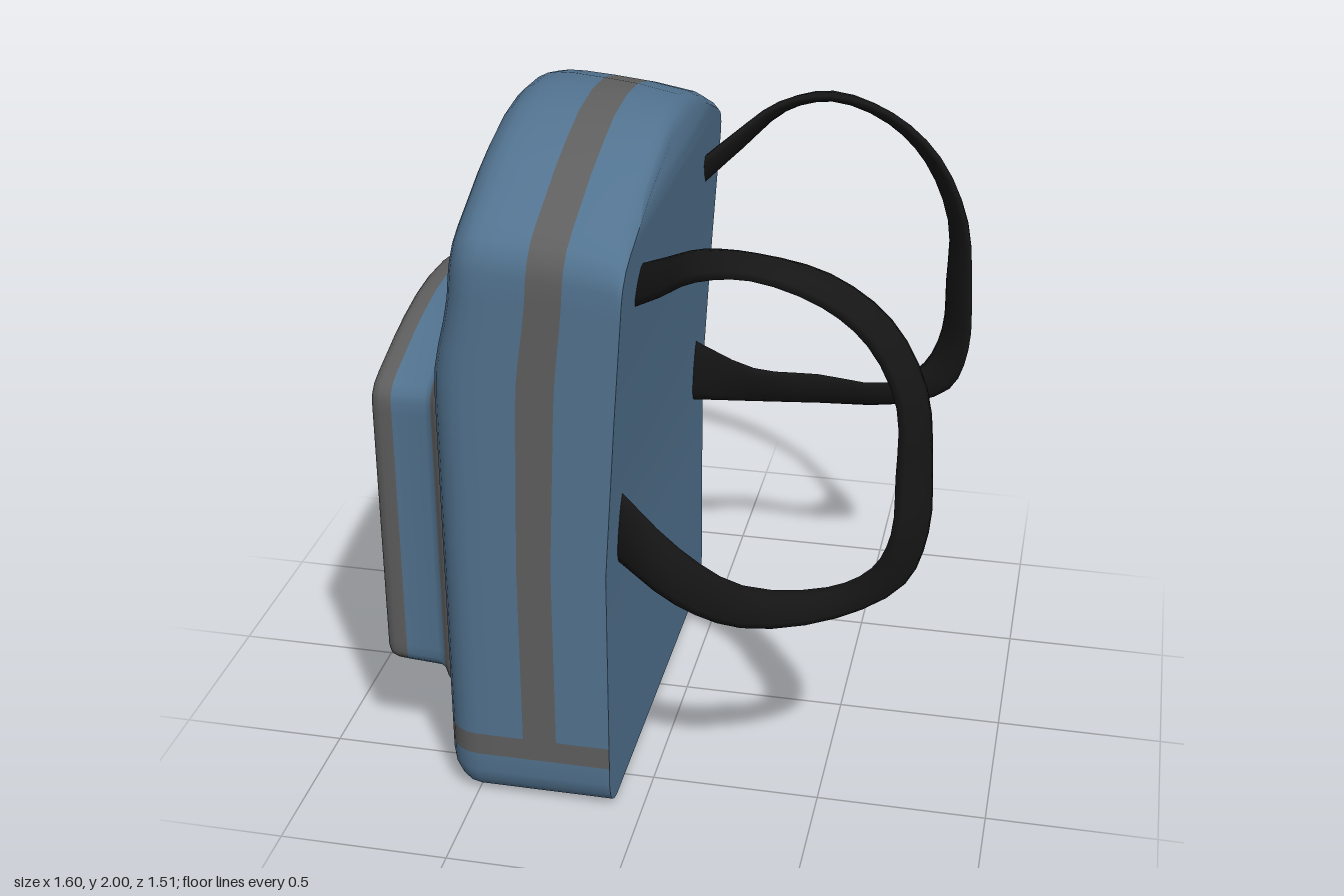
import * as THREE from 'three';
import { toCreasedNormals } from 'three/addons/utils/BufferGeometryUtils.js';

const fabric = new THREE.MeshStandardMaterial({ color: 0x527390 });
const trim = new THREE.MeshStandardMaterial({ color: 0x5f5f5f });
const webbing = new THREE.MeshStandardMaterial({ color: 0x161616 });

// Right half of the arched outline as [z, y], from the bottom edge to the top centre
const outline = [];
for (let i = 0; i <= 4; i++) {
  const a = (i / 4) * Math.PI / 2;
  outline.push([0.6 + 0.09 * Math.sin(a), 0.09 - 0.09 * Math.cos(a)]);
}
const bandRow = outline.length;
for (const y of [0.15, 0.22, 0.5, 0.8, 1.1, 1.3, 1.38, 1.46, 1.54, 1.62, 1.69]) outline.push([0.69, y]);
outline.push([0.682, 1.735], [0.655, 1.78], [0.6, 1.815], [0.5, 1.862], [0.4, 1.91],
  [0.29, 1.95], [0.15, 1.987], [0, 2]);

function piecewise(points, v) {
  for (let i = 1; i < points.length; i++) {
    const [a, fa] = points[i - 1], [b, fb] = points[i];
    if (v <= b) return fa + (fb - fa) * Math.max(0, (v - a) / (b - a));
  }
  return points[points.length - 1][1];
}

// Closed shell: the outline is swept through rings from back to front, with row-wise end caps
function shell(name, ringCount, place, isTrim) {
  const m = outline.length, n = 2 * m - 1;
  const positions = [], plain = [], accent = [];
  for (let k = 0; k < ringCount; k++) {
    for (let j = 0; j < n; j++) {
      const left = j >= m;
      const [z, y] = outline[left ? n - 1 - j : j];
      positions.push(...place(left ? -z : z, y, k));
    }
  }
  for (let k = 0; k < ringCount - 1; k++) {
    for (let j = 0; j < n; j++) {
      const row = j === n - 1 ? -1 : j < m - 1 ? j : n - 2 - j;
      const a = k * n + j, b = k * n + (j + 1) % n;
      (isTrim(k, row) ? accent : plain).push(a, b, b + n, a, b + n, a + n);
    }
  }
  const last = (ringCount - 1) * n;
  for (let i = 0; i < m - 1; i++) {
    const l = n - 1 - i;
    const front = [l, i, i + 1];
    if (i < m - 2) front.push(l, i + 1, l - 1);
    (isTrim(ringCount - 1, i) ? accent : plain).push(...front.map(v => v + last));
    plain.push(...front.reverse());
  }
  let geometry = new THREE.BufferGeometry();
  geometry.setAttribute('position', new THREE.Float32BufferAttribute(positions, 3));
  geometry.setIndex([...plain, ...accent]);
  geometry = toCreasedNormals(geometry, 0.75);

  // Separate fabric and trim while keeping the shared smooth normals
  const group = new THREE.Group();
  group.name = name;
  const cut = plain.length;
  const total = cut + accent.length;
  for (const [suffix, from, to, material] of [['Fabric', 0, cut, fabric], ['Trim', cut, total, trim]]) {
    const part = new THREE.BufferGeometry();
    for (const key of ['position', 'normal']) {
      const slice = geometry.attributes[key].array.slice(from * 3, to * 3);
      part.setAttribute(key, new THREE.BufferAttribute(slice, 3));
    }
    const mesh = new THREE.Mesh(part, material);
    mesh.name = name + suffix;
    group.add(mesh);
  }
  return group;
}

function makeBody() {
  const frontX = [[0, -0.59], [1.3, -0.59], [1.38, -0.586], [1.46, -0.572], [1.54, -0.554],
    [1.62, -0.54], [1.75, -0.529], [2, -0.515]];
  const backX = [[0, -0.09], [0.8, -0.09], [1.95, -0.017]];
  // [depth fraction, inset, drop of the top edge]
  const rings = [[0, 0, 0.085], [0.03, 0, 0.06], [0.08, 0, 0.045], [0.32, 0, 0.02], [0.52, 0, 0.008], [0.7, 0, 0]];
  for (let i = 0; i <= 5; i++) {
    const a = (i / 5) * Math.PI / 2;
    rings.push([0.8 + 0.2 * Math.sin(a), 0.1 * (1 - Math.cos(a)), 0]);
  }
  rings.push([1, 0.13, 0]);
  const place = (z, y, k) => {
    const [t, inset, drop] = rings[k];
    const x = THREE.MathUtils.lerp(piecewise(backX, y), piecewise(frontX, y), t);
    const lift = inset * Math.max(0, 1 - y / 0.15);
    const lower = (inset + drop) * Math.max(0, (y - 1.3) / 0.7);
    return [x, y + lift - lower, z * (1 - inset / 0.69)];
  };
  return shell('body', rings.length, place, (k, row) => row === bandRow || (k === 3 && row > bandRow));
}

function makePocket() {
  // [x, inset]: flared seam, straight side, rounded front edge
  const rings = [[-0.54, -0.035], [-0.588, -0.035], [-0.602, -0.025], [-0.615, -0.008], [-0.635, 0], [-0.735, 0.004],
    [-0.77, 0.006], [-0.787, 0.011], [-0.797, 0.022], [-0.8, 0.036], [-0.8, 0.06]];
  const place = (z, y, k) => {
    const [x, inset] = rings[k];
    return [x, 0.865 + (y - 1) * (0.525 - inset), z * (0.57 - inset) / 0.69];
  };
  return shell('pocket', rings.length, place, k => (k >= 1 && k <= 2) || (k >= 5 && k <= 8));
}

// Shoulder strap: flat oval section between two edge curves
function makeStrap(side) {
  const inner = [[-0.08, 1.52, 0.46], [0.05, 1.63, 0.6], [0.17, 1.73, 0.71], [0.32, 1.765, 0.755],
    [0.5, 1.7, 0.735], [0.62, 1.59, 0.71], [0.7, 1.41, 0.69], [0.705, 1.2, 0.68], [0.7, 1.03, 0.685],
    [0.65, 0.91, 0.67], [0.53, 0.83, 0.66], [0.3, 0.825, 0.69], [0.1, 0.87, 0.6], [-0.1, 1.0, 0.515]];
  const outer = [[-0.08, 1.62, 0.385], [0.05, 1.71, 0.51], [0.17, 1.78, 0.6], [0.32, 1.8, 0.65],
    [0.51, 1.755, 0.64], [0.67, 1.63, 0.615], [0.77, 1.43, 0.595], [0.795, 1.2, 0.59], [0.795, 1.0, 0.6],
    [0.74, 0.845, 0.625], [0.56, 0.745, 0.68], [0.3, 0.705, 0.72], [0.1, 0.72, 0.66], [-0.1, 0.77, 0.53]];
  const [curveA, curveB] = [inner, outer].map(list =>
    new THREE.CatmullRomCurve3(list.map(([x, y, z]) => new THREE.Vector3(x, y, z * side))));
  const steps = 39, sides = 8, thickness = 0.017;
  const positions = [], index = [];
  for (let i = 0; i <= steps; i++) {
    const u = i / steps;
    const a = curveA.getPoint(u), b = curveB.getPoint(u);
    const centre = a.clone().add(b).multiplyScalar(0.5);
    const wide = b.clone().sub(a).multiplyScalar(0.5);
    const along = curveA.getTangent(u).add(curveB.getTangent(u));
    const normal = along.cross(wide).setLength(thickness);
    for (let j = 0; j < sides; j++) {
      const angle = (j / sides) * Math.PI * 2;
      const p = centre.clone().addScaledVector(wide, Math.cos(angle)).addScaledVector(normal, Math.sin(angle));
      positions.push(p.x, p.y, p.z);
      if (i < steps) {
        const q = i * sides + j, r = i * sides + (j + 1) % sides;
        index.push(q, r, r + sides, q, r + sides, q + sides);
      }
    }
  }
  const geometry = new THREE.BufferGeometry();
  geometry.setAttribute('position', new THREE.Float32BufferAttribute(positions, 3));
  geometry.setIndex(index);
  geometry.computeVertexNormals();
  const mesh = new THREE.Mesh(geometry, webbing);
  mesh.name = side > 0 ? 'strapNear' : 'strapFar';
  return mesh;
}

export function createModel() {
  const model = new THREE.Group();
  model.name = 'backpack';
  model.add(makeBody(), makePocket(), makeStrap(1), makeStrap(-1));
  return model;
}
